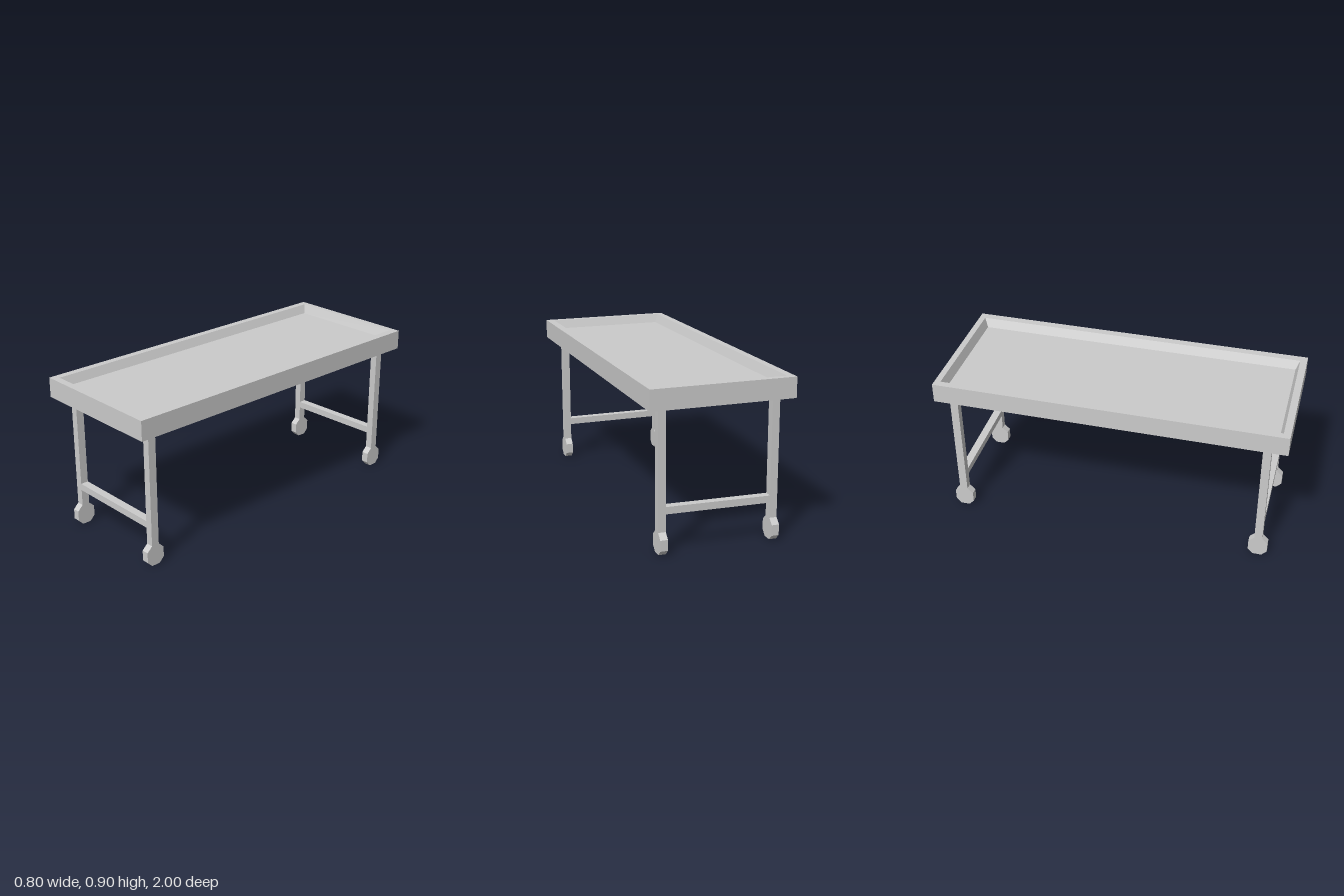
import * as THREE from 'three';

const material = new THREE.MeshStandardMaterial({ color: 0xcccccc, flatShading: true });

function addPart(parent, name, geometry) {
  const mesh = new THREE.Mesh(geometry, material);
  mesh.name = name;
  parent.add(mesh);
  return mesh;
}

// Skin a stack of four-cornered sections, closing the first and last
function skinSections(sections) {
  const points = [];
  const quad = (a, b, c, d) => points.push(...a, ...b, ...c, ...a, ...c, ...d);
  for (let s = 0; s < sections.length - 1; s++) {
    const lower = sections[s], upper = sections[s + 1];
    for (let i = 0; i < 4; i++) {
      const j = (i + 1) % 4;
      quad(lower[i], lower[j], upper[j], upper[i]);
    }
  }
  const first = sections[0], last = sections[sections.length - 1];
  quad(first[3], first[2], first[1], first[0]);
  quad(last[0], last[1], last[2], last[3]);
  const geometry = new THREE.BufferGeometry();
  geometry.setAttribute('position', new THREE.Float32BufferAttribute(points, 3));
  geometry.computeVertexNormals();
  return geometry;
}

// Horizontal rectangle, counter-clockwise seen from above
const rectangle = (x0, x1, z0, z1, y) => [[x0, y, z1], [x1, y, z1], [x1, y, z0], [x0, y, z0]];

// Leg and octagonal foot share one side silhouette, extruded across x
function legGeometry(width) {
  const half = [[0.026, 0], [0.055, 0.03], [0.055, 0.09], [0.023, 0.121], [0.023, 0.787]];
  const mirrored = half.map(([z, y]) => [-z, y]).reverse();
  const outline = [...half, ...mirrored].map(([z, y]) => new THREE.Vector2(z, y));
  const geometry = new THREE.ExtrudeGeometry(new THREE.Shape(outline), { depth: width, bevelEnabled: false });
  geometry.translate(0, 0, -width / 2);
  geometry.rotateY(Math.PI / 2);
  return geometry;
}

export function createModel() {
  const table = new THREE.Group();
  table.name = 'trayTable';

  // Tray top: outer walls, flat rim, sloped inner walls and recessed floor
  addPart(table, 'trayTop', skinSections([
    rectangle(-0.4, 0.4, -1, 1, 0.787),
    rectangle(-0.4, 0.4, -1, 1, 0.9),
    rectangle(-0.36, 0.355, -0.965, 0.96, 0.9),
    rectangle(-0.337, 0.333, -0.943, 0.94, 0.85),
  ]));

  // Two end frames; the rear crossbar dips slightly towards -x
  const leg = legGeometry(0.042);
  const ends = [
    { name: 'front', z: 0.883, dip: 0 },
    { name: 'back', z: -0.908, dip: 0.01 },
  ];
  for (const { name, z, dip } of ends) {
    const frame = new THREE.Group();
    frame.name = name + 'Frame';
    frame.position.z = z;
    table.add(frame);

    addPart(frame, name + 'RightLeg', leg).position.x = -0.321;
    addPart(frame, name + 'LeftLeg', leg).position.x = 0.309;

    const bar = (y) => [[-0.3, y - dip, 0.023], [0.288, y, 0.023], [0.288, y, -0.023], [-0.3, y - dip, -0.023]];
    addPart(frame, name + 'Crossbar', skinSections([bar(0.217), bar(0.257)]));
  }
  return table;
}
